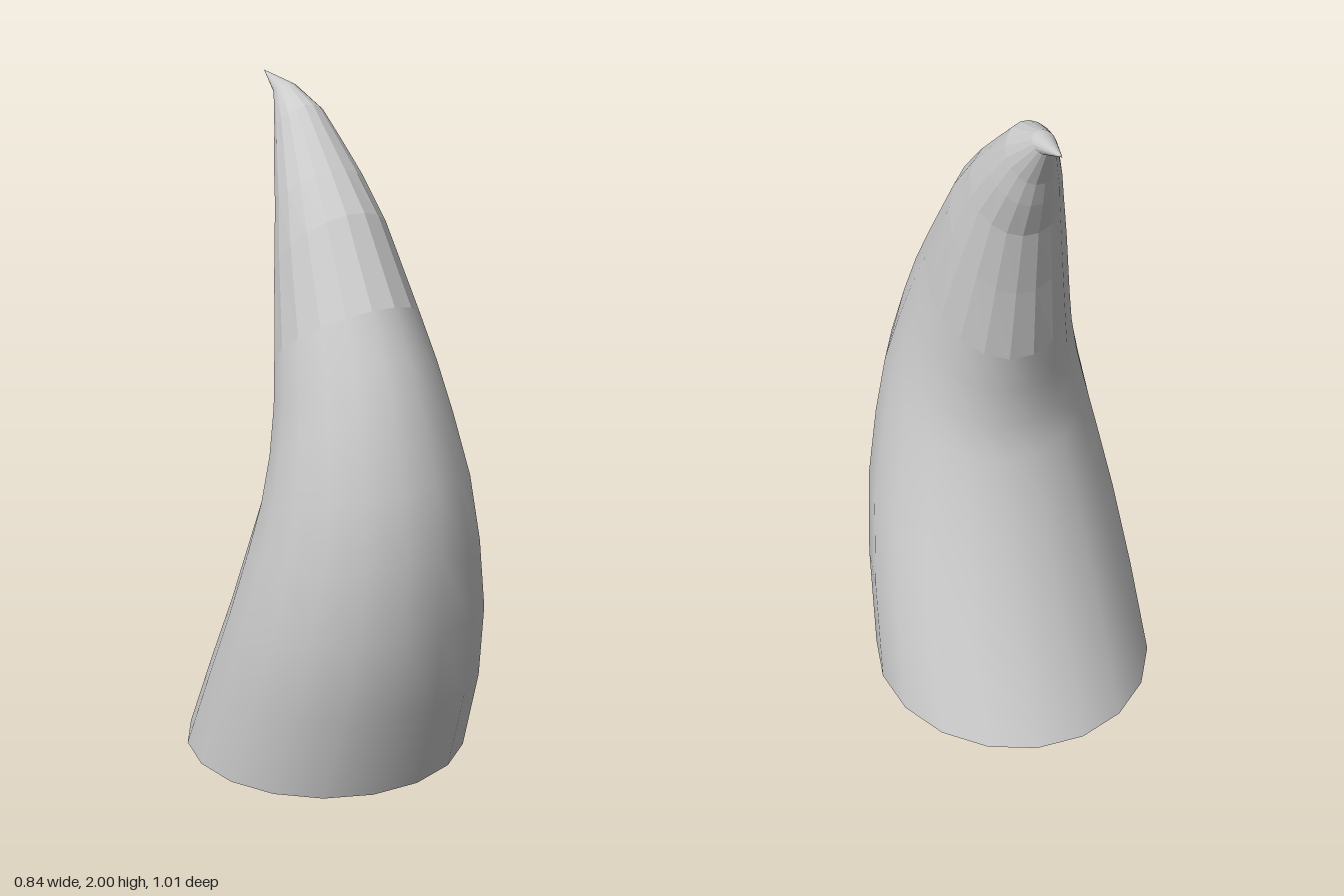
import * as THREE from 'three';

const SIDES = 18;

// Each ring: front z, front y, back z, back y, half width
const rings = [
  [0.36, 0.03, -0.505, 0.0, 0.42],
  [0.46, 0.32, -0.38, 0.25, 0.4],
  [0.505, 0.57, -0.26, 0.49, 0.37],
  [0.51, 0.8, -0.19, 0.68, 0.33],
  [0.48, 1.01, -0.14, 0.81, 0.295],
  [0.41, 1.2, -0.12, 0.92, 0.26],
  [0.35, 1.34, -0.13, 1.05, 0.23],
  [0.27, 1.47, -0.15, 1.18, 0.205],
  [0.11, 1.7, -0.18, 1.42, 0.163],
  [0.01, 1.8, -0.215, 1.63, 0.128],
  [-0.08, 1.88, -0.26, 1.75, 0.098],
  [-0.16, 1.95, -0.285, 1.83, 0.072],
  [-0.28, 1.99, -0.34, 1.95, 0.032],
  [-0.44, 2.0, -0.44, 2.0, 0],
];

// Skin a list of tilted elliptical rings into an open tube
function skin(list) {
  const pos = [], index = [];
  const flat = Math.cos(Math.PI / SIDES); // flats, not corners, face front and back
  list.forEach(([fz, fy, bz, by, w], j) => {
    for (let i = 0; i < SIDES; i++) {
      const a = ((i + 0.5) / SIDES) * Math.PI * 2;
      const c = Math.cos(a) / flat / 2;
      pos.push(w * Math.sin(a), (fy + by) / 2 + (fy - by) * c, (fz + bz) / 2 + (fz - bz) * c);
      if (j === list.length - 1) continue;
      const n = (i + 1) % SIDES, p = j * SIDES, q = p + SIDES;
      index.push(p + i, p + n, q + i);
      if (list[j + 1][4] > 0) index.push(p + n, q + n, q + i);
    }
  });
  const g = new THREE.BufferGeometry();
  g.setAttribute('position', new THREE.Float32BufferAttribute(pos, 3));
  g.setIndex(index);
  return g;
}

function part(name, list, flatShading) {
  let g = skin(list);
  if (flatShading) g = g.toNonIndexed();
  g.computeVertexNormals();
  const mesh = new THREE.Mesh(g, new THREE.MeshStandardMaterial({
    color: 0xcccccc, flatShading, side: THREE.DoubleSide,
  }));
  mesh.name = name;
  return mesh;
}

export function createModel() {
  const horn = new THREE.Group();
  horn.name = 'horn';
  // Smooth lower body, open at the base, and faceted curved tip
  horn.add(part('hornBody', rings.slice(0, 8), false));
  horn.add(part('hornTip', rings.slice(7), true));
  return horn;
}
